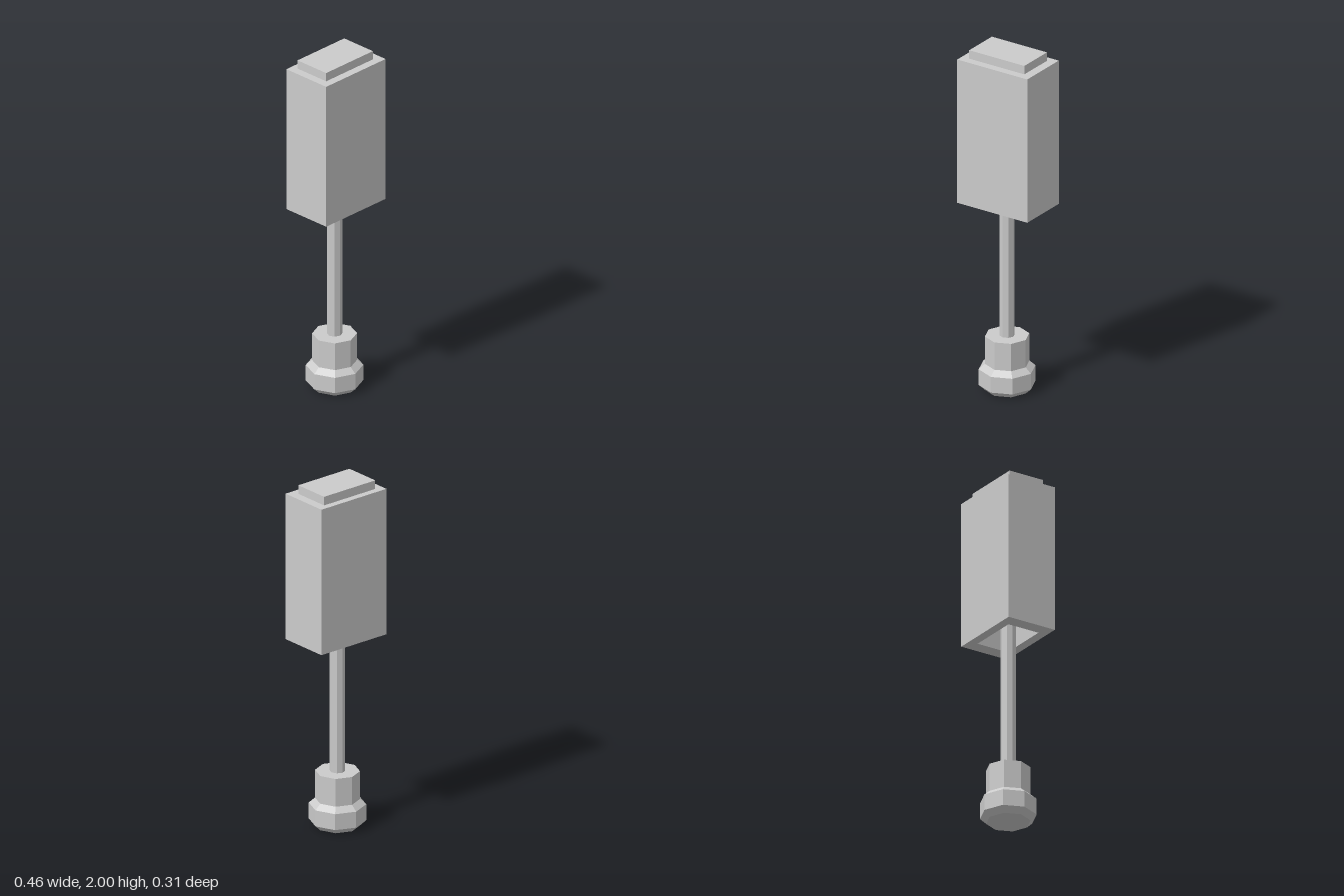
import * as THREE from 'three';

const material = new THREE.MeshStandardMaterial({ color: 0xcccccc, flatShading: true });

function addPart(group, name, geometry, x, y, z) {
  const mesh = new THREE.Mesh(geometry, material);
  mesh.name = name;
  mesh.position.set(x, y, z);
  group.add(mesh);
  return mesh;
}

// Rectangle outline centred on the origin
function rectangle(target, w, d) {
  target.moveTo(-w / 2, -d / 2);
  target.lineTo(w / 2, -d / 2);
  target.lineTo(w / 2, d / 2);
  target.lineTo(-w / 2, d / 2);
  target.closePath();
  return target;
}

export function createModel() {
  const group = new THREE.Group();
  const axisX = -0.008, axisZ = -0.001;

  // Hollow rectangular housing, open underneath
  const outline = rectangle(new THREE.Shape(), 0.46, 0.3);
  outline.holes.push(rectangle(new THREE.Path(), 0.3, 0.195));
  const housing = new THREE.ExtrudeGeometry(outline, { depth: 0.85, bevelEnabled: false });
  housing.rotateX(-Math.PI / 2);
  addPart(group, 'housing', housing, 0, 1.1, 0.002);

  // Cap plate closing the top of the housing
  addPart(group, 'topPlate', new THREE.BoxGeometry(0.362, 0.05, 0.216), -0.002, 1.975, -0.002);

  // Octagonal rod reaching up into the housing
  addPart(group, 'rod', new THREE.CylinderGeometry(0.042, 0.042, 1.635, 8), axisX, 1.1325, axisZ);

  // Faceted end knob: chamfered foot, wide band, narrower collar
  const profile = [
    [0, 0], [0.122, 0], [0.156, 0.032], [0.156, 0.125], [0.122, 0.155], [0.122, 0.317], [0, 0.317],
  ].map(([r, y]) => new THREE.Vector2(r, y));
  addPart(group, 'knob', new THREE.LatheGeometry(profile, 8), axisX, 0, axisZ);

  return group;
}
